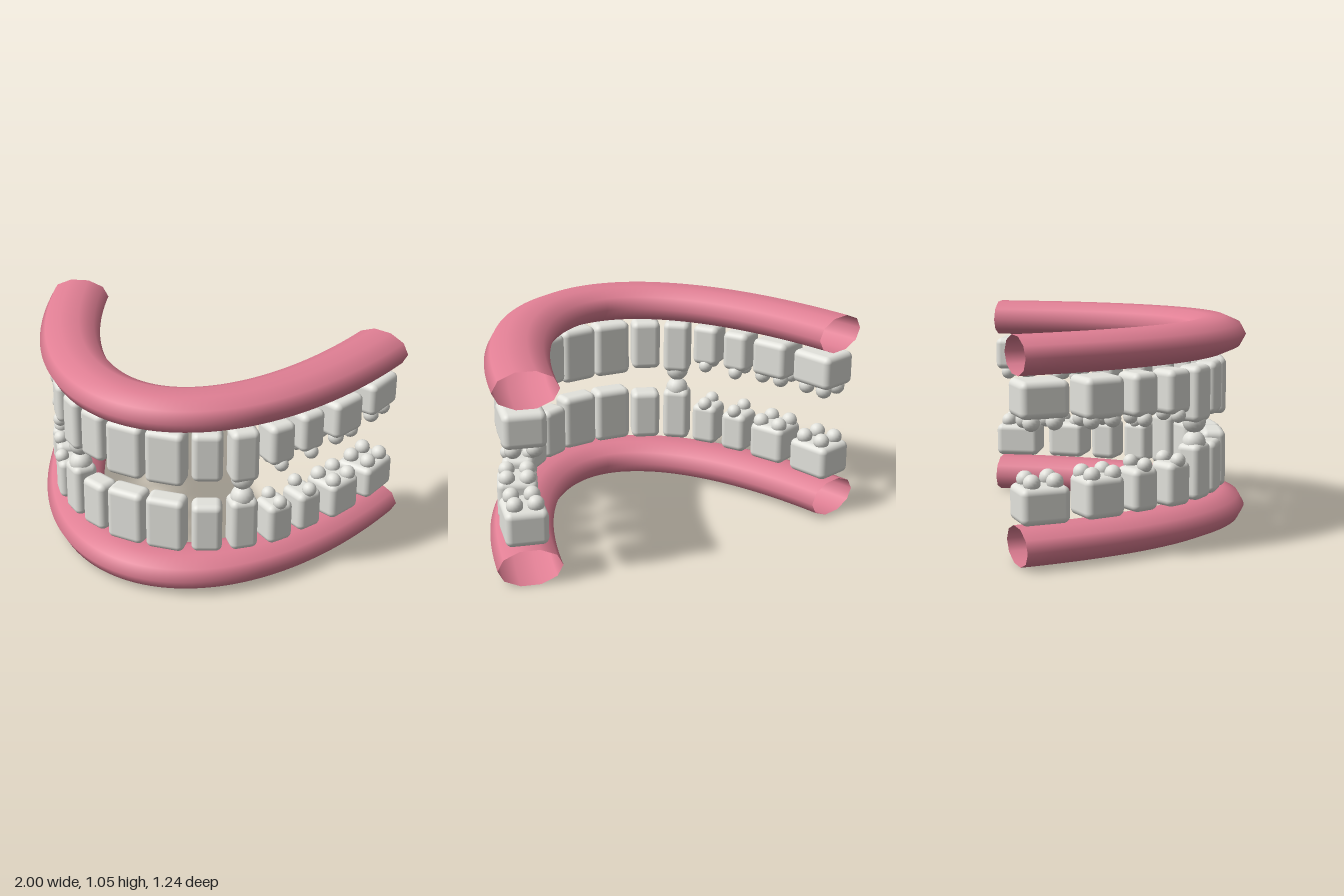
import * as THREE from 'three';
import { RoundedBoxGeometry } from 'three/addons/geometries/RoundedBoxGeometry.js';
import { ParametricGeometry } from 'three/addons/geometries/ParametricGeometry.js';

const gumPink = new THREE.MeshStandardMaterial({ color: 0xe07f94, side: THREE.DoubleSide });
gumPink.name = 'gumPink';
const toothWhite = new THREE.MeshStandardMaterial({ color: 0xe2e2dc });
toothWhite.name = 'toothWhite';

const BASE = 0.2; // root height of the lower teeth
const MIDDLE = 0.5275; // bite plane, about which the jaws mirror
const GUM_Y = 0.09;

// One side of a lower jaw: w along the arch, d across it, yaw in degrees,
// cusps as [along, across] offsets with radius r and centre height cy
const four = [[-0.055, -0.05], [0.055, -0.05], [-0.055, 0.05], [0.055, 0.05]];
const teeth = [
  { name: 'centralIncisor', x: 0.102, z: 0.445, w: 0.195, d: 0.12, top: 0.485, yaw: 5, cusps: [] },
  { name: 'lateralIncisor', x: 0.287, z: 0.385, w: 0.15, d: 0.12, top: 0.46, yaw: 22, cusps: [] },
  { name: 'canine', x: 0.435, z: 0.295, w: 0.14, d: 0.125, top: 0.475, yaw: 38, cusps: [[0, 0]], r: 0.058, cy: 0.475 },
  { name: 'firstPremolar', x: 0.555, z: 0.163, w: 0.14, d: 0.15, top: 0.412, yaw: 54, cusps: [[0, -0.05], [0, 0.05]], r: 0.036, cy: 0.419 },
  { name: 'secondPremolar', x: 0.642, z: -0.007, w: 0.14, d: 0.16, top: 0.406, yaw: 60, cusps: [[0, -0.055], [0, 0.055]], r: 0.036, cy: 0.419 },
  { name: 'firstMolar', x: 0.74, z: -0.208, w: 0.2, d: 0.195, top: 0.393, yaw: 67, cusps: four, r: 0.04, cy: 0.4 },
  { name: 'secondMolar', x: 0.83, z: -0.478, w: 0.235, d: 0.205, top: 0.372, yaw: 75, cusps: four, r: 0.04, cy: 0.39 },
];

const arch = new THREE.CubicBezierCurve3(
  new THREE.Vector3(0.85, 0, -0.585), new THREE.Vector3(0.477, 0, 0.815),
  new THREE.Vector3(-0.477, 0, 0.815), new THREE.Vector3(-0.85, 0, -0.585));

// Flattened ten-sided open tube swept along the arch
function gumGeometry() {
  return new ParametricGeometry((u, v, target) => {
    const p = arch.getPoint(v), t = arch.getTangent(v);
    const a = u * Math.PI * 2, out = 0.155 * Math.cos(a);
    target.set(p.x + t.z * out, 0.093 * Math.sin(a), p.z - t.x * out);
  }, 10, 64);
}

function makeTooth(t, side, flip) {
  const tooth = new THREE.Group();
  const level = (y) => (flip ? 2 * MIDDLE - y : y);
  const h = t.top - BASE;
  const crown = new THREE.Mesh(new RoundedBoxGeometry(t.w, h, t.d, 4, 0.032), toothWhite);
  crown.name = 'crown';
  crown.position.y = level(BASE + h / 2);
  tooth.add(crown);
  for (const [along, across] of t.cusps) {
    const cusp = new THREE.Mesh(new THREE.SphereGeometry(t.r, 16, 12), toothWhite);
    cusp.name = 'cusp';
    cusp.position.set(along * side, level(t.cy), across);
    tooth.add(cusp);
  }
  tooth.name = (side > 0 ? 'left ' : 'right ') + t.name;
  tooth.position.set(t.x * side, 0, t.z);
  tooth.rotation.y = THREE.MathUtils.degToRad(t.yaw) * side;
  return tooth;
}

function makeJaw(name, flip) {
  const jaw = new THREE.Group();
  jaw.name = name;
  const gum = new THREE.Mesh(gumGeometry(), gumPink);
  gum.name = 'gum';
  gum.position.y = flip ? 2 * MIDDLE - GUM_Y : GUM_Y;
  jaw.add(gum);
  for (const t of teeth) for (const side of [1, -1]) jaw.add(makeTooth(t, side, flip));
  return jaw;
}

export function createModel() {
  const model = new THREE.Group();
  model.name = 'dentalArches';
  model.add(makeJaw('lowerJaw', false), makeJaw('upperJaw', true));
  return model;
}
